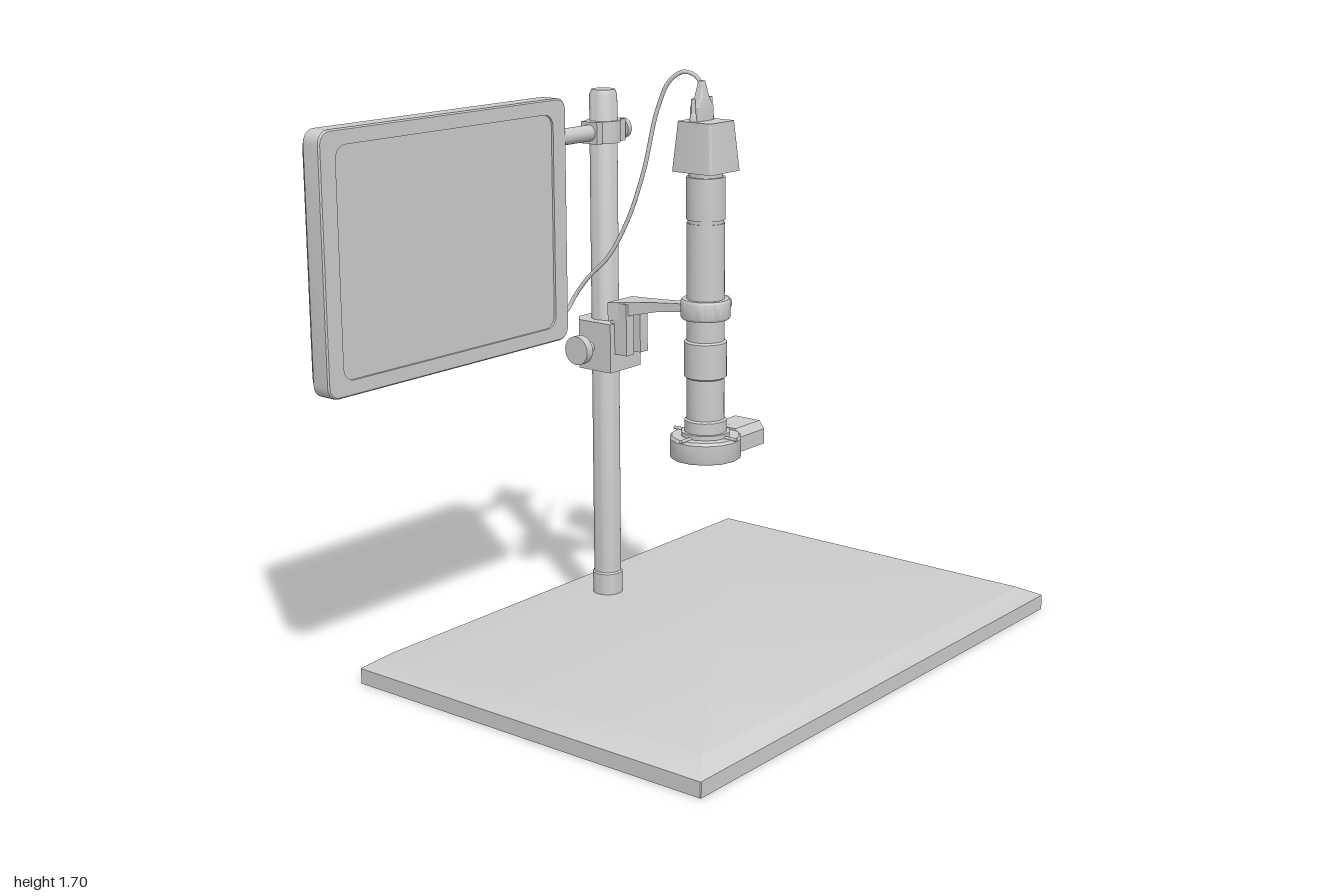
import * as THREE from 'three';
import { toCreasedNormals, mergeVertices } from 'three/addons/utils/BufferGeometryUtils.js';

const material = new THREE.MeshStandardMaterial({ color: 0xcccccc, side: THREE.DoubleSide });
const AX = 0.128;      // shared x of post and microscope
const POST_Z = -0.418;
const TUBE_Z = -0.04;

// Rounded rectangle, counterclockwise, at height z
function roundRect(w, h, r, z, cx = 0, cy = 0, n = 5) {
  const pts = [];
  for (let c = 0; c < 4; c++) {
    const sx = c === 0 || c === 3 ? 1 : -1, sy = c < 2 ? 1 : -1;
    for (let i = 0; i <= n; i++) {
      const a = (c + i / n) * Math.PI / 2;
      pts.push([cx + sx * (w / 2 - r) + r * Math.cos(a), cy + sy * (h / 2 - r) + r * Math.sin(a), z]);
    }
  }
  return pts;
}

// Skin through matching loops stacked along +z, capped at both ends
function loft(loops, crease = 0.45) {
  const n = loops[0].length, pos = loops.flat(2), idx = [];
  for (let i = 0; i < loops.length - 1; i++)
    for (let j = 0; j < n; j++) {
      const k = (j + 1) % n, a = i * n + j, b = i * n + k;
      idx.push(a, b, b + n, a, b + n, a + n);
    }
  const top = (loops.length - 1) * n;
  for (let j = 1; j < n - 1; j++) idx.push(0, j + 1, j, top, top + j, top + j + 1);
  const g = new THREE.BufferGeometry();
  g.setAttribute('position', new THREE.Float32BufferAttribute(pos, 3));
  g.setIndex(idx);
  return toCreasedNormals(mergeVertices(g), crease);
}

// Same skin, stacked along +y
const loftUp = (loops) => loft(loops).rotateX(-Math.PI / 2);

// Turned part from [radius, y] pairs, bottom to top
function turned(profile, sides = 32) {
  const g = new THREE.LatheGeometry(profile.map(([r, y]) => new THREE.Vector2(r, y)), sides);
  return toCreasedNormals(g, 0.6);
}

export function createModel() {
  const model = new THREE.Group();
  const add = (name, geometry, x = 0, y = 0, z = 0, parent = model) => {
    const mesh = new THREE.Mesh(geometry, material);
    mesh.name = name;
    mesh.position.set(x, y, z);
    parent.add(mesh);
    return mesh;
  };
  const box = (name, w, h, d, x, y, z) => add(name, new THREE.BoxGeometry(w, h, d), x, y, z);
  const rodX = (name, r, x0, x1, y, z, sides = 20) =>
    add(name, new THREE.CylinderGeometry(r, r, x1 - x0, sides).rotateZ(Math.PI / 2), (x0 + x1) / 2, y, z);

  // Base plate with sloped rim
  add('base', loftUp([
    roundRect(1.73, 1.22, 0.002, 0, 0, 0, 1),
    roundRect(1.73, 1.22, 0.002, 0.045, 0, 0, 1),
    roundRect(1.59, 1.12, 0.002, 0.08, 0, 0, 1),
  ]), 0.135);

  // Post with foot collar and eased top
  add('post', turned([[0, 0.07], [0.045, 0.07], [0.045, 0.145], [0.041, 0.15],
    [0.041, 1.605], [0.034, 1.62], [0, 1.62]]), AX, 0, POST_Z);

  // Monitor: tapered back, flat bezel, sunken screen
  const mw = 0.935, mh = 0.7;
  add('monitor', loft([
    roundRect(mw - 0.07, mh - 0.07, 0.03, -0.476),
    roundRect(mw - 0.03, mh - 0.03, 0.035, -0.47),
    roundRect(mw, mh, 0.035, -0.45),
    roundRect(mw, mh, 0.035, -0.397),
    roundRect(mw - 0.008, mh - 0.008, 0.032, -0.393),
    roundRect(mw - 0.11, mh - 0.085, 0.035, -0.393),
    roundRect(mw - 0.11, mh - 0.085, 0.035, -0.4),
  ]), -0.5325, 1.265, 0);

  // Monitor clamp, arm and thumbscrew
  const cy = 1.498;
  add('monitorClamp', new THREE.CylinderGeometry(0.05, 0.05, 0.064, 28), AX, cy, POST_Z);
  box('monitorClampLug', 0.13, 0.064, 0.06, AX, cy, POST_Z);
  rodX('monitorArm', 0.024, -0.075, 0.075, cy, POST_Z);
  rodX('monitorClampScrew', 0.012, 0.18, 0.21, cy, POST_Z);
  rodX('monitorClampKnob', 0.03, 0.205, 0.222, cy, POST_Z);

  // Height block on the post, chamfered at the back
  const block = new THREE.Shape([[-0.07, -0.076], [0.07, -0.076], [0.07, 0.045], [0.035, 0.076],
    [-0.035, 0.076], [-0.07, 0.045]].map(([x, y]) => new THREE.Vector2(x, y)));
  add('heightBlock', new THREE.ExtrudeGeometry(block, { depth: 0.147, bevelEnabled: false })
    .rotateX(-Math.PI / 2), AX, 0.793, -0.416);
  rodX('heightScrew', 0.016, 0.015, 0.065, 0.862, POST_Z);
  rodX('heightKnob', 0.043, -0.006, 0.02, 0.862, POST_Z, 24);

  // Slide behind the arm: two rails and a backing plate
  box('slidePlate', 0.1, 0.155, 0.02, AX, 0.925, -0.345);
  for (const s of [-1, 1]) box('slideRail', 0.035, 0.155, 0.045, AX + s * 0.032, 0.925, -0.318);

  // Bracket arm narrowing towards the tube
  const section = (z, half, bottom, top) =>
    [[-half, bottom, z], [half, bottom, z], [half, top, z], [-half, top, z]];
  add('bracketArm', loft([
    section(-0.36, 0.057, 0.945, 1.003),
    section(-0.295, 0.042, 0.968, 1.009),
    section(-0.2, 0.027, 0.99, 1.018),
    section(-0.09, 0.02, 1.005, 1.027),
  ]), AX);

  // Microscope tube, stepped along its length
  add('microscopeTube', turned([
    [0, 0.64], [0.061, 0.64], [0.061, 0.69], [0.055, 0.695], [0.055, 0.815], [0.062, 0.82],
    [0.062, 0.922], [0.055, 0.927], [0.055, 1.268], [0.052, 1.268], [0.052, 1.278],
    [0.056, 1.278], [0.056, 1.4], [0.049, 1.4], [0.049, 1.43], [0, 1.43]]), AX, 0, TUBE_Z);
  add('holderRing', turned([[0.05, 0.99], [0.068, 0.99], [0.072, 0.996], [0.072, 1.042],
    [0.068, 1.048], [0.05, 1.048]]), AX, 0, TUBE_Z);
  rodX('holderScrew', 0.01, 0.19, 0.218, 1.02, TUBE_Z);
  rodX('holderKnob', 0.02, 0.214, 0.228, 1.02, TUBE_Z);

  // Ring light with centring screws and control housing
  add('ringLight', turned([[0, 0.585], [0.07, 0.585], [0.075, 0.578], [0.103, 0.578],
    [0.106, 0.585], [0.106, 0.635], [0.1, 0.643], [0.072, 0.643], [0.072, 0.656], [0, 0.656]], 14), AX, 0, TUBE_Z);
  for (let i = 0; i < 4; i++) {
    const pivot = new THREE.Group();
    pivot.name = 'ringLightScrew';
    pivot.position.set(AX, 0.645, TUBE_Z);
    pivot.rotation.y = i * Math.PI / 2;
    model.add(pivot);
    add('screw', new THREE.CylinderGeometry(0.005, 0.005, 0.05, 10).rotateZ(Math.PI / 2), 0.09, 0, 0, pivot);
  }
  const housing = new THREE.Shape([[-0.062, 0], [0.062, 0], [0.062, 0.045], [0.045, 0.068],
    [-0.045, 0.068], [-0.062, 0.045]].map(([x, y]) => new THREE.Vector2(x, y)));
  add('lightHousing', new THREE.ExtrudeGeometry(housing, { depth: 0.12, bevelEnabled: false })
    .rotateY(Math.PI / 2), 0.213, 0.581, TUBE_Z);

  // Camera head flaring downwards
  add('cameraHead', loftUp([
    roundRect(0.138, 0.142, 0.008, 1.415),
    roundRect(0.115, 0.118, 0.008, 1.557),
  ]), AX, 0, TUBE_Z);

  // Plug, its fixing screws and strain relief
  const plugZ = -0.055;
  add('plug', loftUp([
    roundRect(0.07, 0.034, 0.004, 1.555),
    roundRect(0.07, 0.034, 0.004, 1.595),
    roundRect(0.035, 0.028, 0.004, 1.625),
    roundRect(0.016, 0.016, 0.004, 1.668),
  ]), AX, 0, plugZ);
  for (const s of [-1, 1])
    add('plugScrew', turned([[0, 1.55], [0.012, 1.55], [0.009, 1.575], [0.006, 1.58],
      [0.006, 1.62], [0, 1.622]], 12), AX + s * 0.039, 0, plugZ);

  // Cable looping from camera to monitor
  const path = new THREE.CatmullRomCurve3([
    [AX, 1.65, -0.055], [0.122, 1.678, -0.068], [0.105, 1.692, -0.1], [0.087, 1.665, -0.138],
    [0.074, 1.58, -0.173], [0.053, 1.41, -0.205], [0.034, 1.265, -0.25], [0.016, 1.153, -0.31],
    [0, 1.085, -0.375], [-0.015, 1.025, -0.415], [-0.035, 0.99, -0.425], [-0.075, 0.985, -0.425],
  ].map((p) => new THREE.Vector3(...p)));
  add('cable', new THREE.TubeGeometry(path, 80, 0.006, 10));
  rodX('cableSocket', 0.011, -0.07, -0.045, 0.985, -0.425, 12);

  return model;
}
